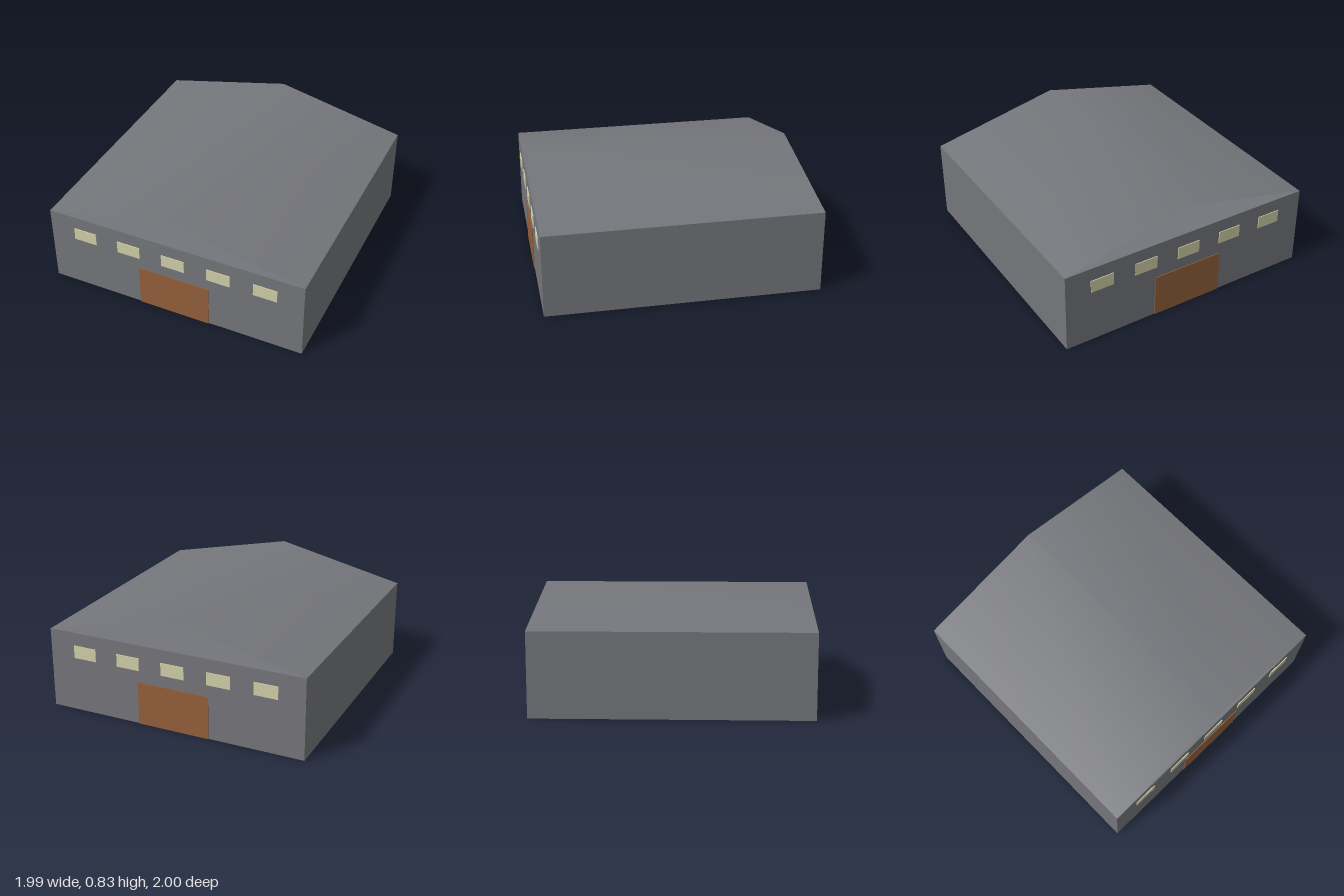
import * as THREE from 'three';

const HALF = 0.994;     // half width and half depth of the walls
const EAVE = 0.61;
const RIDGE = 0.83;

export function createModel() {
  const model = new THREE.Group();
  const grey = new THREE.MeshStandardMaterial({ name: 'grey cladding', color: 0x75767b, side: THREE.DoubleSide });
  const brown = new THREE.MeshStandardMaterial({ name: 'brown door', color: 0x935f3b });
  const cream = new THREE.MeshStandardMaterial({ name: 'cream glass', color: 0xd0cfa8 });

  function add(parent, name, geometry, material, x = 0, y = 0, z = 0) {
    const mesh = new THREE.Mesh(geometry, material);
    mesh.name = name;
    mesh.position.set(x, y, z);
    parent.add(mesh);
  }

  // Four walls and a flat ceiling; the underside is open
  const shell = new THREE.BoxGeometry(2 * HALF, EAVE, 2 * HALF);
  const index = Array.from(shell.index.array);
  index.splice(18, 6); // the bottom face
  shell.setIndex(index);
  shell.clearGroups();
  add(model, 'walls', shell, grey, 0, EAVE / 2, 0);

  // Pitched roof sheet with open gable ends, smooth across the ridge
  const roof = new THREE.PlaneGeometry(2 * HALF, 2 * HALF, 2, 1).rotateX(-Math.PI / 2);
  const p = roof.attributes.position;
  for (let i = 0; i < p.count; i++) {
    p.setY(i, RIDGE - (RIDGE - EAVE) * Math.abs(p.getX(i)) / HALF);
  }
  roof.computeVertexNormals();
  add(model, 'roof', roof, grey);

  // Door and a row of five windows on the front and back walls
  const doorPlate = new THREE.BoxGeometry(0.553, 0.325, 0.009);
  const windowPlate = new THREE.BoxGeometry(0.18, 0.096, 0.009);
  for (const side of [1, -1]) {
    const openings = new THREE.Group();
    openings.name = side > 0 ? 'frontOpenings' : 'backOpenings';
    const z = side * (HALF + 0.0015);
    add(openings, 'door', doorPlate, brown, 0, 0.1625, z);
    for (let i = -2; i <= 2; i++) {
      add(openings, 'window', windowPlate, cream, i * 0.354, 0.463, z);
    }
    model.add(openings);
  }
  return model;
}
